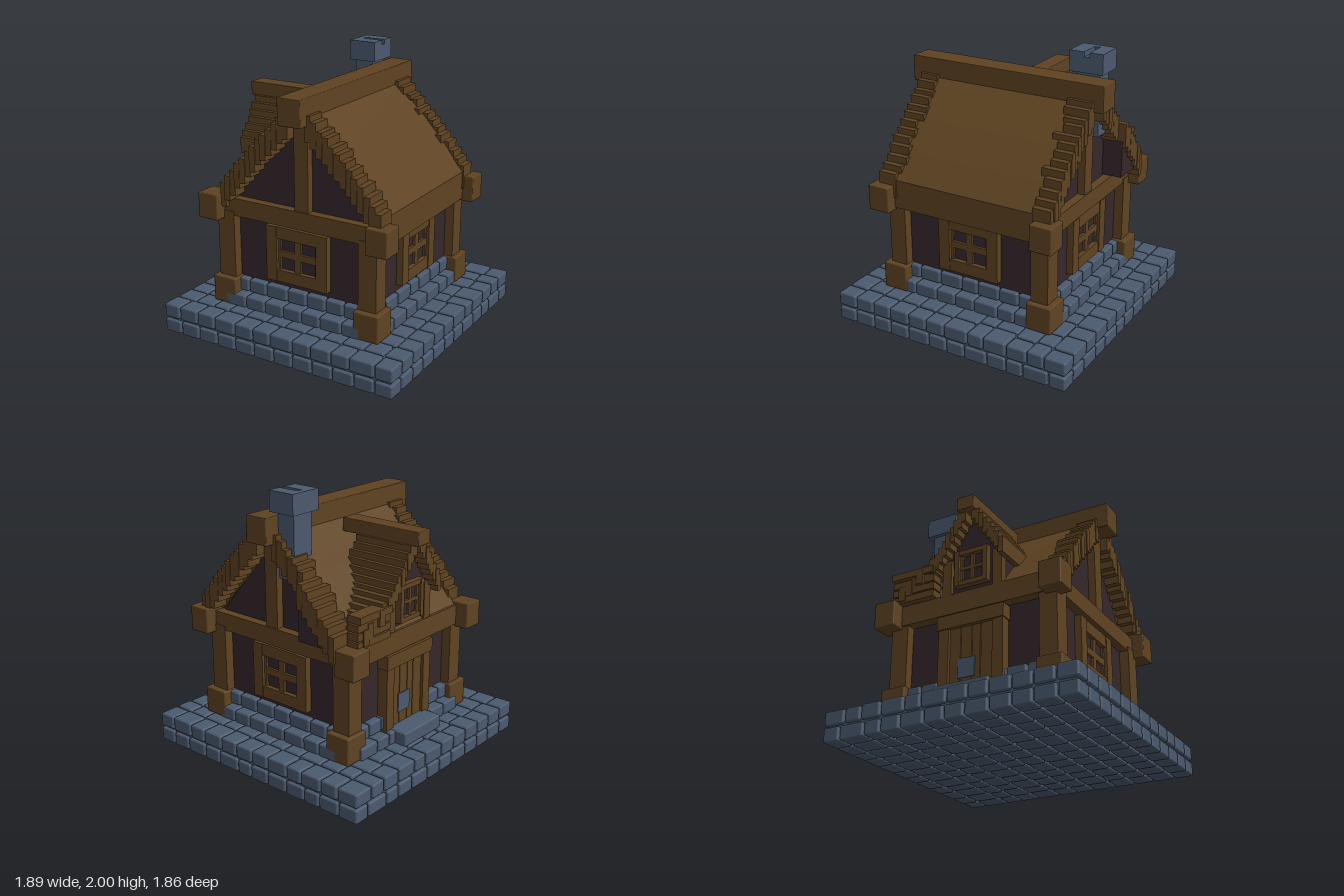
import * as THREE from 'three';
import { RoundedBoxGeometry } from 'three/addons/geometries/RoundedBoxGeometry.js';

export function createModel() {
  const root = new THREE.Group();
  root.name = 'stoneAndTimberCottage';
  const material = (name, color) => {
    const m = new THREE.MeshStandardMaterial({ color });
    m.name = name;
    return m;
  };
  const wood = material('wood', 0x5e4321);
  const wall = material('darkPlaster', 0x35272b);
  const stone = material('stone', 0x4b5a6f);

  let seed = 7;
  const rand = () => (seed = (seed * 16807) % 2147483647) / 2147483647;
  const jitter = (a) => (rand() - 0.5) * 2 * a;

  const group = (name, parent = root) => {
    const g = new THREE.Group();
    g.name = name;
    parent.add(g);
    return g;
  };
  const add = (name, geo, mat, parent = root) => {
    const m = new THREE.Mesh(geo, mat);
    m.name = name;
    parent.add(m);
    return m;
  };
  // Box given by its limits on each axis, optionally with worn edges
  const box = (name, mat, x0, x1, y0, y1, z0, z1, parent = root, radius = 0) => {
    const s = [x1 - x0, y1 - y0, z1 - z0];
    const geo = radius ? new RoundedBoxGeometry(...s, 1, radius) : new THREE.BoxGeometry(...s);
    const m = add(name, geo, mat, parent);
    m.position.set((x0 + x1) / 2, (y0 + y1) / 2, (z0 + z1) / 2);
    return m;
  };
  const prism = (name, mat, points, z0, z1, parent = root) => {
    const shape = new THREE.Shape(points.map((p) => new THREE.Vector2(...p)));
    const geo = new THREE.ExtrudeGeometry(shape, { depth: z1 - z0, bevelEnabled: false });
    geo.translate(0, 0, z0);
    return add(name, geo, mat, parent);
  };
  // Uneven cuts from a to b
  const cuts = (a, b, n) =>
    Array.from({ length: n + 1 }, (_, i) => a + ((b - a) * i) / n + (i % n ? jitter(0.022) : 0));

  // Two paved layers of the base
  const base = group('stoneBase');
  box('baseCore', stone, -0.92, 0.92, 0.025, 0.195, -0.91, 0.905, base);
  [[0, 0.103], [0.115, 0.22]].forEach(([y0, y1], layer) => {
    const zs = cuts(-0.94, 0.935, 12);
    for (let r = 0; r < 12; r++) {
      const xs = cuts(-0.95, 0.95, 12);
      for (let c = 0; c < 12; c++) {
        if (layer && r > 2 && r < 9 && c > 2 && c < 9) continue;
        const top = y1 - rand() * 0.006;
        box('baseBlock', stone, xs[c] + 0.006, xs[c + 1] - 0.006, y0, top,
          zs[r] + 0.006, zs[r + 1] - 0.006, base, 0.014);
      }
    }
  });

  // Two stepped courses of stone around the foot of the walls
  const plinth = group('stonePlinth');
  [[0.215, 0.31, 0.69], [0.315, 0.415, 0.625]].forEach(([y0, y1, out]) => {
    for (const s of [-1, 1]) {
      const xs = cuts(-0.57, 0.57, 7), zs = cuts(-0.57, 0.57, 7);
      const lo = Math.min(s * out, s * 0.5), hi = Math.max(s * out, s * 0.5);
      for (let i = 0; i < 7; i++) {
        box('plinthBlock', stone, xs[i] + 0.005, xs[i + 1] - 0.005, y0, y1, lo, hi, plinth, 0.014);
        box('plinthBlock', stone, lo, hi, y0, y1, zs[i] + 0.005, zs[i + 1] - 0.005, plinth, 0.014);
      }
    }
  });

  // House body with gables
  prism('houseWalls', wall,
    [[-0.57, 0.25], [0.59, 0.25], [0.59, 1.02], [0.06, 1.64], [-0.57, 1.0]], -0.575, 0.575);

  // Corner posts with feet and beam heads
  const frame = group('timberFrame');
  for (const sz of [-1, 1]) {
    for (const sx of [-1, 1]) {
      const px = 0.01 + sx * 0.58, pz = sz * 0.58;
      box('cornerPost', wood, px - 0.07, px + 0.07, 0.4, 0.92, pz - 0.066, pz + 0.066, frame);
      const fx = 0.015 + sx * 0.588, fz = sz * 0.595;
      box('postFoot', wood, fx - 0.097, fx + 0.097, 0.22, 0.42, fz - 0.095, fz + 0.095, frame, 0.01);
      const hx = 0.017 + sx * 0.682, hz = sz * 0.647;
      box('beamHead', wood, hx - 0.082, hx + 0.082, 0.86, 1.05, hz - 0.083, hz + 0.083, frame, 0.008);
    }
    const z = sz * 0.59;
    box('gableBeam', wood, -0.62, 0.63, 0.89, 1.02, z - 0.05, z + 0.05, frame);
    box('gablePost', wood, 0.01, 0.12, 1.0, 1.66, z - 0.04, z + 0.04, frame);
  }
  box('leftBeam', wood, -0.65, -0.54, 0.88, 1.03, -0.58, 0.58, frame);
  box('rightBeam', wood, 0.56, 0.66, 0.89, 1.02, -0.58, 0.58, frame);

  // Framed window facing +z, standing on its own origin
  const makeWindow = (name, w, h, border, bar) => {
    const g = group(name);
    const iw = w - border, ih = h - border;
    for (const s of [-1, 1]) {
      box('windowJamb', wood, s * (w - border / 2) - border / 2, s * (w - border / 2) + border / 2, -h, h, -0.03, 0.045, g);
      box('windowRail', wood, -iw, iw, s * (h - border / 2) - border / 2, s * (h - border / 2) + border / 2, -0.03, 0.04, g);
      // Thin inner sash
      box('sashSide', wood, s * (iw - 0.01) - 0.01, s * (iw - 0.01) + 0.01, -ih, ih, -0.02, 0.022, g);
    }
    box('uprightBar', wood, -bar, bar, -ih, ih, -0.02, 0.025, g);
    box('crossBar', wood, -iw, iw, -bar, bar, -0.02, 0.025, g);
    box('windowPane', wall, -iw, iw, -ih, ih, 0, 0.006, g);
    return g;
  };
  const place = (g, x, y, z, turn) => {
    g.position.set(x, y, z);
    g.rotation.y = turn;
  };
  place(makeWindow('frontWindow', 0.25, 0.205, 0.088, 0.025), 0.01, 0.665, 0.58, 0);
  place(makeWindow('backWindow', 0.25, 0.205, 0.088, 0.025), 0.01, 0.665, -0.58, Math.PI);
  place(makeWindow('rightWindow', 0.24, 0.205, 0.088, 0.025), 0.595, 0.665, 0, Math.PI / 2);
  place(makeWindow('dormerWindow', 0.13, 0.135, 0.035, 0.012), -0.62, 1.21, 0, -Math.PI / 2);

  // Door on the left wall, with a stone step
  const door = group('door');
  for (const s of [-1, 1]) {
    box('doorJamb', wood, -0.65, -0.55, 0.22, 0.84, s * 0.21 - 0.04, s * 0.21 + 0.04, door);
  }
  box('doorLintel', wood, -0.66, -0.55, 0.77, 0.87, -0.26, 0.26, door);
  cuts(-0.17, 0.17, 4).forEach((z, i, zs) => {
    if (i < 4) box('doorPlank', wood, -0.63, -0.55, 0.3, 0.78, z + 0.003, zs[i + 1] - 0.003, door);
  });
  box('doorPanel', stone, -0.637, -0.629, 0.4, 0.54, -0.1, 0.03, door);
  box('doorStep', stone, -0.78, -0.6, 0.21, 0.315, -0.2, 0.22, door, 0.014);

  // Main roof: smooth slabs with stair-stepped planks at both gables
  const roof = group('mainRoof');
  const line = [[0, 1.78], [0.09, 1.69], [0.32, 1.46], [0.5, 1.26], [0.64, 1.09]];
  const heightAt = (d) => {
    let i = 1;
    while (i < line.length - 1 && d > line[i][0]) i++;
    const [a, b] = [line[i - 1], line[i]];
    return a[1] + ((b[1] - a[1]) * (d - a[0])) / (b[0] - a[0]);
  };
  for (const s of [-1, 1]) {
    const end = s > 0 ? 0.64 : 0.69;
    const upper = [...line.slice(0, 4), [end, heightAt(end)]];
    const lower = [[end, 0.88], [end - 0.07, 0.88], [end - 0.09, 1.02], [0, 1.62]];
    if (s < 0) lower[0][1] = lower[1][1] = 1.0;
    prism('roofSlab', wood, [...upper, ...lower].map(([d, y]) => [0.06 + s * d, y]), -0.57, 0.57, roof);
    for (let i = 0; i < 13; i++) {
      const d = 0.07 + i * 0.0445, mid = 0.06 + s * (d + 0.022);
      const y = heightAt(d) + jitter(0.008);
      const back = s < 0 && d > 0.31 ? 0.74 : 0.69;
      box('frontRoofPlank', wood, mid - 0.024, mid + 0.024, y - 0.18, y, 0.53 + jitter(0.03), 0.68 + jitter(0.008), roof);
      box('backRoofPlank', wood, mid - 0.024, mid + 0.024, y - 0.18, y, -back + jitter(0.008), -0.53 + jitter(0.03), roof);
    }
  }
  box('ridgeBeam', wood, -0.03, 0.15, 1.64, 1.83, -0.765, 0.76, roof, 0.006);
  prism('backGableInfill', wall, [[-0.58, 1.03], [-0.27, 1.03], [-0.27, 1.31]], -0.725, -0.57, roof);

  // Dormer over the door, with overlapping planks along x
  const dormer = group('dormer');
  const dormerWalls = prism('dormerWalls', wall,
    [[-0.23, 1.0], [0.23, 1.0], [0.23, 1.28], [0, 1.62], [-0.23, 1.28]], 0.28, 0.615, dormer);
  dormerWalls.rotation.y = -Math.PI / 2;
  for (const s of [-1, 1]) {
    for (let i = 0; i < 8; i++) {
      const z = s * (0.04 + i * 0.031), y = 1.67 - i * 0.046;
      box('dormerPlank', wood, -0.705 + jitter(0.008), -0.24 + jitter(0.015), y - 0.12, y,
        z - 0.019, z + 0.019, dormer);
    }
    box('dormerPost', wood, -0.645, -0.58, 1.0, 1.3, s * 0.2 - 0.035, s * 0.2 + 0.035, dormer);
  }
  // Flared planks running from the dormer to the back eave
  for (let i = 0; i < 6; i++) {
    const z = -0.29 - i * 0.05, y = 1.32 - i * 0.032;
    box('flarePlank', wood, -0.7 + jitter(0.012), -0.36 - i * 0.015, y - 0.11, y, z - 0.028, z + 0.028, dormer);
  }
  for (let i = 0; i < 4; i++) {
    const y = 1.06 + i * 0.06;
    box('backEavePlank', wood, -0.7 + jitter(0.012), -0.6, y - 0.025, y + 0.025, -0.62, -0.28, dormer);
  }
  box('dormerRidge', wood, -0.75, -0.1, 1.62, 1.72, -0.07, 0.065, dormer, 0.006);

  // Chimney with a slotted cap
  const chimney = group('chimney');
  box('chimneyShaft', stone, -0.17, -0.03, 1.4, 1.87, -0.645, -0.475, chimney);
  box('chimneyCap', stone, -0.2, 0.01, 1.855, 1.965, -0.685, -0.435, chimney);
  box('capBackRim', stone, -0.2, 0.01, 1.965, 2, -0.685, -0.585, chimney);
  box('capFrontRim', stone, -0.2, 0.01, 1.965, 2, -0.545, -0.435, chimney);
  box('capSideRim', stone, -0.2, -0.15, 1.965, 2, -0.585, -0.545, chimney);

  return root;
}
